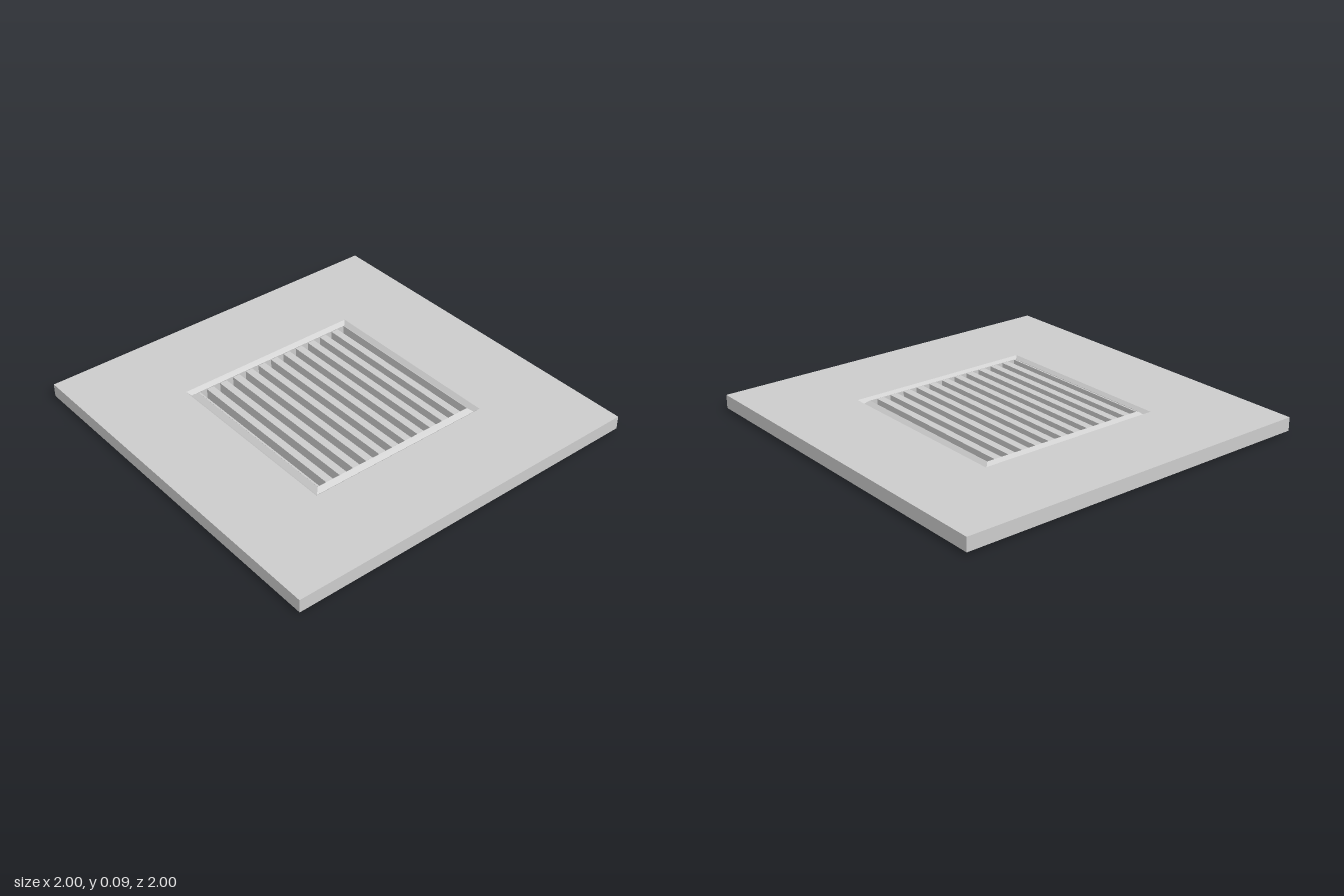
import * as THREE from 'three';

const grey = new THREE.MeshStandardMaterial({ color: 0xcccccc, side: THREE.DoubleSide });
grey.name = 'painted metal grey';

const TOP = 0.087, INNER = 0.475;

// Square ring swept from a profile of [half width, height] points
function squareRing(name, profile) {
  const points = profile.map(([h, y]) => new THREE.Vector2(h * Math.SQRT2, y));
  const geometry = new THREE.LatheGeometry(points, 4, Math.PI / 4).toNonIndexed();
  geometry.computeVertexNormals();
  const mesh = new THREE.Mesh(geometry, grey);
  mesh.name = name;
  return mesh;
}

export function createModel() {
  const group = new THREE.Group();
  group.name = 'ventGrille';

  // Open-bottomed cover: skirt and flat top around the square opening
  group.add(squareRing('coverPlate', [[1, 0.015], [1, TOP], [0.52, TOP]]));

  // V-shaped groove framing the grille
  group.add(squareRing('frameGroove', [[0.52, TOP], [0.5, TOP - 0.02], [INNER, TOP]]));

  // Shallow box behind the slats
  group.add(squareRing('boxWalls', [[INNER, TOP], [INNER, 0]]));
  const floor = new THREE.Mesh(new THREE.PlaneGeometry(2 * INNER, 2 * INNER), grey);
  floor.name = 'boxFloor';
  floor.rotation.x = -Math.PI / 2;
  group.add(floor);

  // Slats running front to back; the first is a narrow edge strip
  const slats = new THREE.Group();
  slats.name = 'slats';
  const pitch = 0.0815, width = 0.0405;
  for (let i = 0; i < 12; i++) {
    const right = -0.465 + i * pitch;
    const left = Math.max(right - width, -INNER + 0.001);
    const slat = new THREE.Mesh(new THREE.BoxGeometry(right - left, TOP - 0.002, 2 * INNER - 0.002), grey);
    slat.name = 'slat';
    slat.position.set((left + right) / 2, TOP / 2, 0);
    slats.add(slat);
  }
  group.add(slats);

  return group;
}
